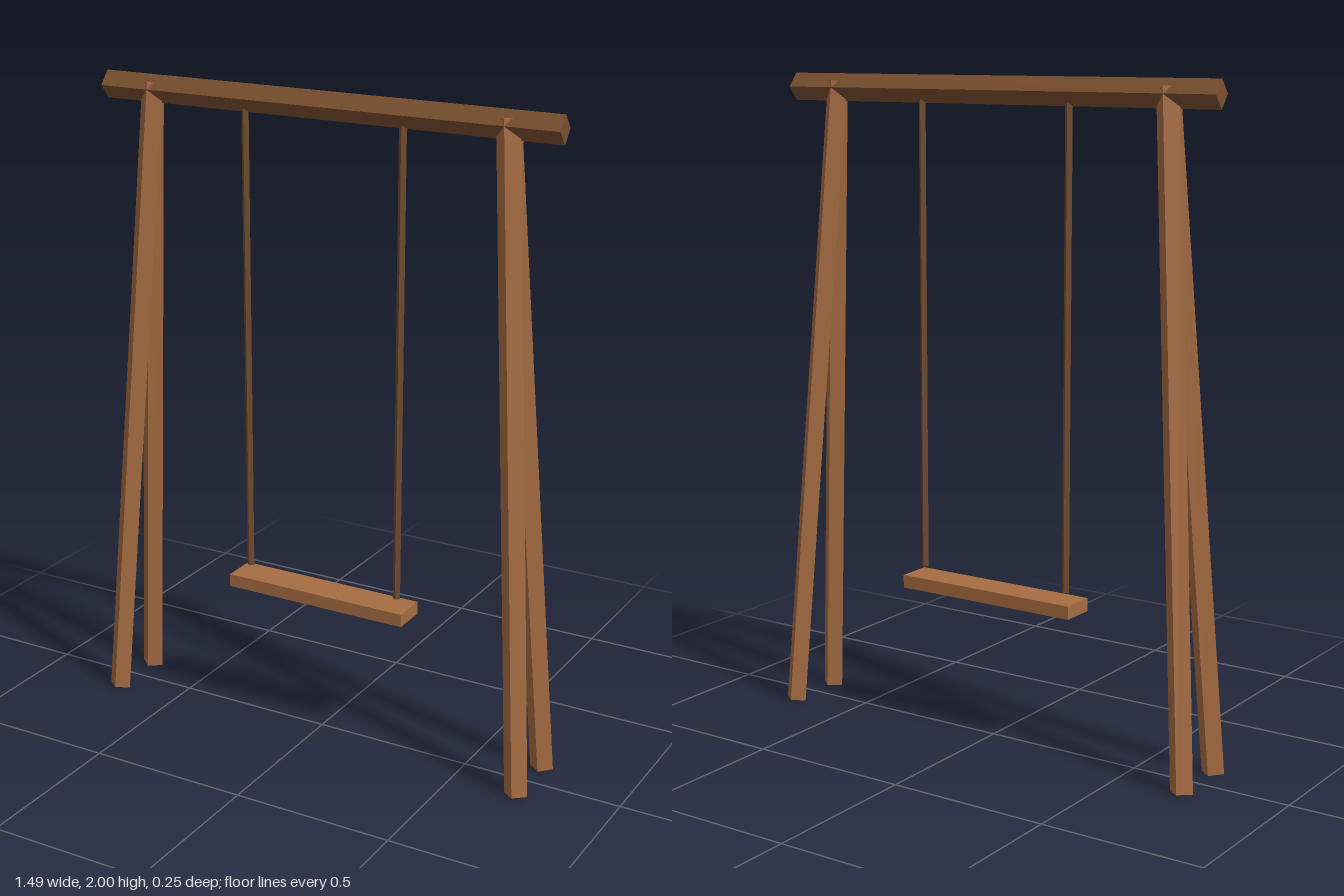
import * as THREE from 'three';

const DEPTH = 0.81; // timbers are slightly flattened front to back

const lightWood = new THREE.MeshStandardMaterial({ color: 0xa66c41 });
lightWood.name = 'lightWood';
const darkWood = new THREE.MeshStandardMaterial({ color: 0x7b502e });
darkWood.name = 'darkWood';
const rope = new THREE.MeshStandardMaterial({ color: 0x704b2d });
rope.name = 'rope';

// Four-sided bar, corner edges facing front and sides, running between two points
function bar(name, from, to, radius, material) {
  const a = new THREE.Vector3(...from);
  const b = new THREE.Vector3(...to);
  a.z /= DEPTH;
  b.z /= DEPTH;
  const dir = b.clone().sub(a);
  const length = dir.length();
  const turn = new THREE.Quaternion().setFromUnitVectors(new THREE.Vector3(0, 1, 0), dir.normalize());
  const mid = a.add(b).multiplyScalar(0.5);
  const geometry = new THREE.CylinderGeometry(radius, radius, length, 4)
    .applyQuaternion(turn)
    .translate(mid.x, mid.y, mid.z)
    .scale(1, 1, DEPTH)
    .toNonIndexed();
  geometry.computeVertexNormals(); // crisp flat faces
  const mesh = new THREE.Mesh(geometry, material);
  mesh.name = name;
  return mesh;
}

export function createModel() {
  const swing = new THREE.Group();
  swing.name = 'swing';

  // Top beam
  swing.add(bar('topBeam', [-0.74, 1.9585, 0], [0.74, 1.9585, 0], 0.0415, darkWood));

  for (const side of [-1, 1]) {
    const label = side > 0 ? 'left' : 'right';

    // Splayed legs, a front and a back one at each end
    for (const face of [1, -1]) {
      const name = label + (face > 0 ? 'FrontLeg' : 'BackLeg');
      swing.add(bar(name, [side * 0.71, 0.004, face * 0.094], [side * 0.576, 1.977, face * 0.002], 0.0372, lightWood));
    }

    // Hanging rope
    swing.add(bar(label + 'Rope', [side * 0.257, 0.496, 0], [side * 0.257, 1.95, 0], 0.0125, rope));
  }

  // Seat plank
  const seat = new THREE.Mesh(new THREE.BoxGeometry(0.602, 0.04, 0.108), lightWood);
  seat.position.y = 0.453;
  seat.name = 'seat';
  swing.add(seat);

  return swing;
}
